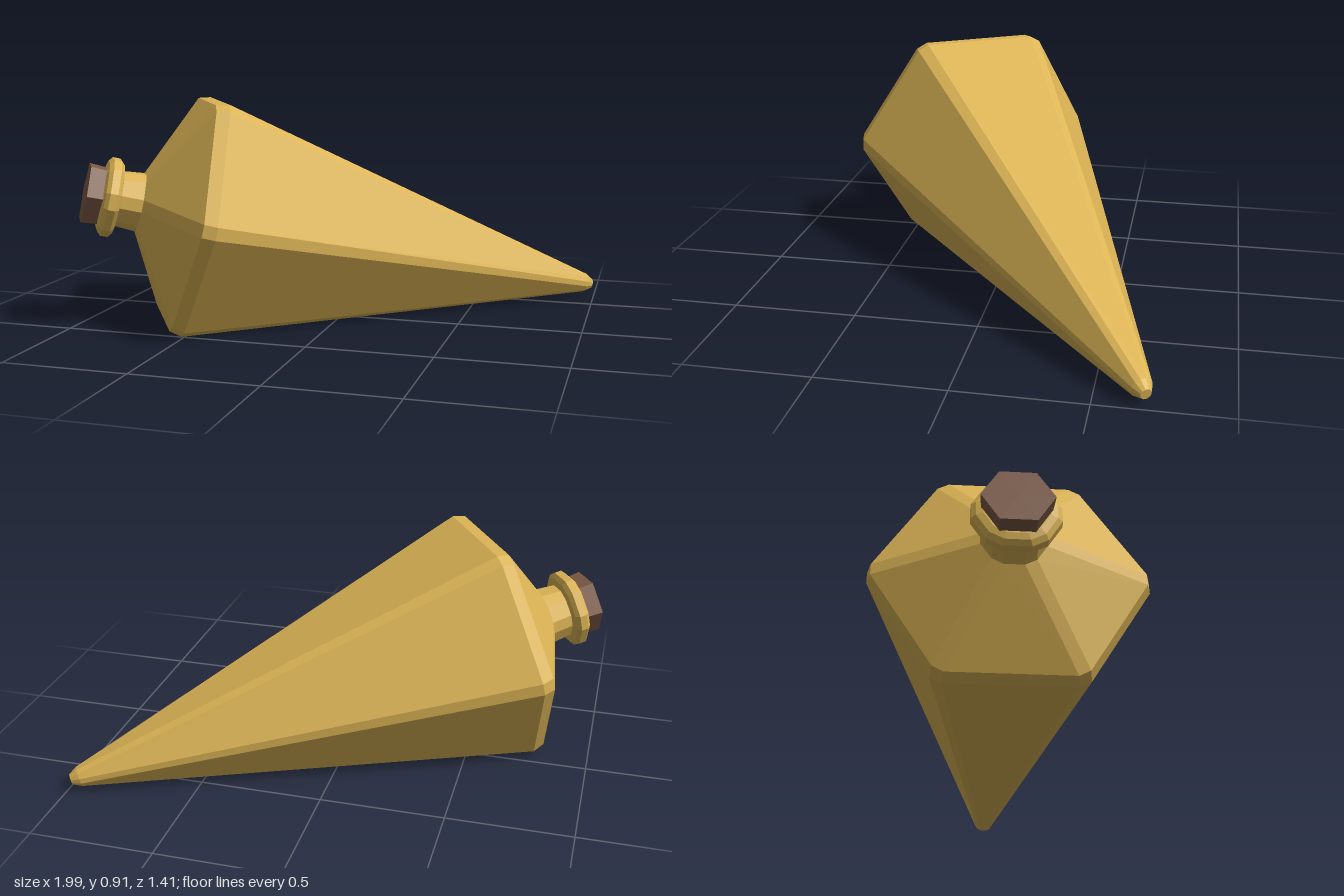
import * as THREE from 'three';

const gold = new THREE.MeshStandardMaterial({ color: 0xdcb455, flatShading: true });
const brown = new THREE.MeshStandardMaterial({ color: 0x7d5a45, flatShading: true });

// Loft of hexagons with cut corners; each ring is [height, radius, corner cut width]
function hexLoft(rings) {
  const pos = [], index = [], n = 12;
  for (const [y, r, cut] of rings) {
    const d = r > 0 ? Math.asin(cut / (2 * r)) : 0;
    for (let k = 0; k < 6; k++) {
      for (const side of [-1, 1]) {
        const a = k * Math.PI / 3 + side * d;
        pos.push(r * Math.cos(a), y, r * Math.sin(a));
      }
    }
  }
  for (let j = 0; j < rings.length - 1; j++) {
    for (let i = 0; i < n; i++) {
      const a = j * n + i, b = j * n + (i + 1) % n;
      if (rings[j + 1][1] > 0) index.push(a, a + n, b + n);
      if (rings[j][1] > 0) index.push(a, b + n, b);
    }
  }
  const g = new THREE.BufferGeometry();
  g.setAttribute('position', new THREE.Float32BufferAttribute(pos, 3));
  g.setIndex(index);
  const flat = g.toNonIndexed();
  flat.computeVertexNormals();
  return flat;
}

function part(name, geometry, material, parent) {
  const m = new THREE.Mesh(geometry, material);
  m.name = name;
  parent.add(m);
}

export function createModel() {
  const model = new THREE.Group();
  model.name = 'bottle';

  // Upright bottle: long pointed body, shoulder and neck
  part('body', hexLoft([
    [-1.86, 0, 0],
    [-1.86, 0.022, 0.012],
    [-1.825, 0.042, 0.022],
    [-0.025, 0.525, 0.05],
    [0.025, 0.51, 0.05],
    [0.21, 0.122, 0.05],
    [0.31, 0.112, 0.05],
  ]), gold, model);

  // Rounded lip around the mouth
  part('collar', hexLoft([
    [0.295, 0.105, 0.05],
    [0.3, 0.145, 0.06],
    [0.315, 0.163, 0.065],
    [0.345, 0.163, 0.065],
    [0.36, 0.145, 0.06],
    [0.368, 0.12, 0.05],
    [0.368, 0, 0],
  ]), gold, model);

  // Six-sided stopper
  const cork = new THREE.CylinderGeometry(0.13, 0.122, 0.1, 6).rotateY(Math.PI / 6);
  cork.translate(0, 0.38, 0);
  part('stopper', cork, brown, model);

  // Lay the bottle down so one flank and the tip touch the ground
  const up = new THREE.Vector3(-0.835, 0.22, 0.504).normalize();
  const x = new THREE.Vector3(up.z, 0, -up.x).normalize();
  const z = new THREE.Vector3().crossVectors(x, up);
  model.quaternion.setFromRotationMatrix(new THREE.Matrix4().makeBasis(x, up, z));
  model.position.set(-0.57, 0.455, 0.25);

  const root = new THREE.Group();
  root.name = 'model';
  root.add(model);
  return root;
}
